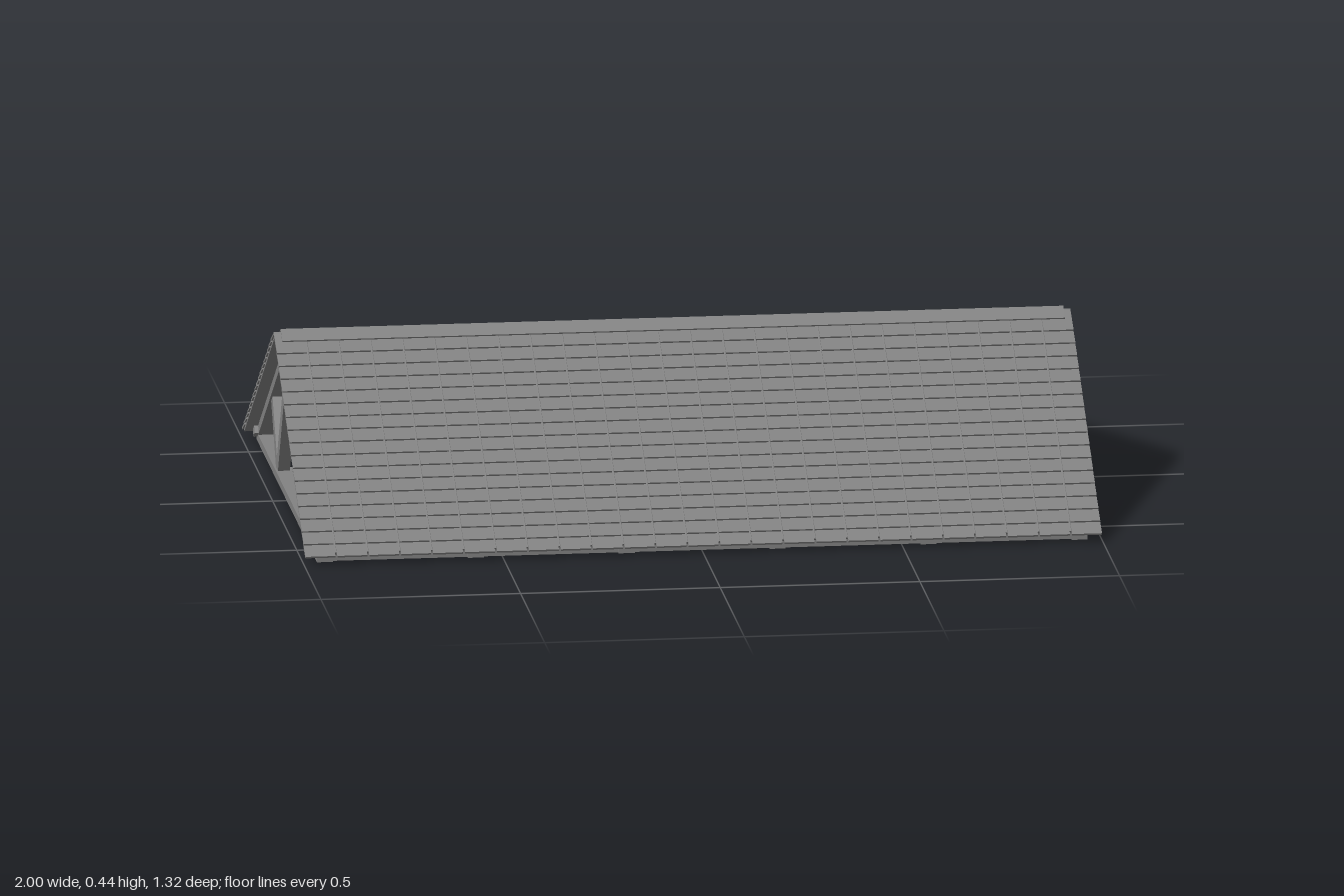
import * as THREE from 'three';
import { mergeGeometries } from 'three/addons/utils/BufferGeometryUtils.js';

const SLOPE = Math.atan(0.635), APEX = 0.427, SLOPE_LEN = 0.773;
const COLS = 25, ROWS = 17, PITCH = 0.0436;

export function createModel() {
  const model = new THREE.Group();
  const material = new THREE.MeshStandardMaterial({ color: 0x828282, flatShading: true });

  const box = (parent, name, size, pos) => {
    const mesh = new THREE.Mesh(new THREE.BoxGeometry(...size), material);
    mesh.name = name;
    mesh.position.set(...pos);
    parent.add(mesh);
    return mesh;
  };

  // Timber in the y-z plane between two [z, y] points
  const timber = (parent, name, a, b, thick, width) => {
    const dz = b[0] - a[0], dy = b[1] - a[1];
    const mesh = box(parent, name, [width, thick, Math.hypot(dz, dy)],
      [0, (a[1] + b[1]) / 2, (a[0] + b[0]) / 2]);
    mesh.rotation.x = Math.atan2(-dy, dz);
  };

  // Six trusses
  for (let i = 0; i < 6; i++) {
    const truss = new THREE.Group();
    truss.name = 'truss';
    truss.position.x = -0.945 + i * 0.378;
    box(truss, 'bottomChord', [0.04, 0.02, 1.255], [0, 0.01, 0]);
    for (const s of [1, -1]) {
      timber(truss, 'rafter', [0, 0.408], [s * 0.62, 0.0143], 0.023, 0.04);
      timber(truss, 'innerStrut', [s * 0.245, 0.015], [s * 0.016, 0.405], 0.034, 0.03);
      timber(truss, 'outerStrut', [s * 0.24, 0.015], [s * 0.355, 0.182], 0.034, 0.03);
    }
    model.add(truss);
  }

  // Lengthwise beams tying the trusses together
  for (const s of [1, -1]) {
    box(model, 'tieBeam', [1.93, 0.017, 0.04], [0, 0.0105, s * 0.24]);
    box(model, 'eaveBeam', [1.93, 0.017, 0.04], [0, 0.0105, s * 0.605]);
  }

  // Overlapping tiles of one slope, butt ends raised, top course longer
  const tiles = [];
  for (let r = 0; r < ROWS; r++) {
    const length = r === 0 ? 0.08 : 0.055;
    for (let c = 0; c < COLS; c++) {
      const tile = new THREE.BoxGeometry(0.075, 0.005, length);
      tile.translate(0, 0, -length / 2);
      tile.rotateX(-0.1);
      tile.translate(-0.96 + c * 0.08, 0.0095, SLOPE_LEN - (ROWS - 1 - r) * PITCH);
      tiles.push(tile);
    }
  }
  const tileGeometry = mergeGeometries(tiles);

  // Two mirrored roof slopes
  for (const turn of [0, Math.PI]) {
    const side = new THREE.Group();
    side.name = 'roofSide';
    side.rotation.y = turn;
    const slope = new THREE.Group();
    slope.name = 'roofSlope';
    slope.position.y = APEX;
    slope.rotation.x = SLOPE;
    box(slope, 'sheathing', [1.99, 0.006, 0.75], [0, -0.003, 0.375]);
    box(slope, 'eaveBatten', [1.95, 0.02, 0.03], [0, -0.016, 0.72]);
    const tileMesh = new THREE.Mesh(tileGeometry, material);
    tileMesh.name = 'tiles';
    slope.add(tileMesh);
    box(slope, 'ridgeCap', [1.96, 0.004, 0.041], [0, 0.01, 0.0135]);
    side.add(slope);
    model.add(side);
  }
  return model;
}
